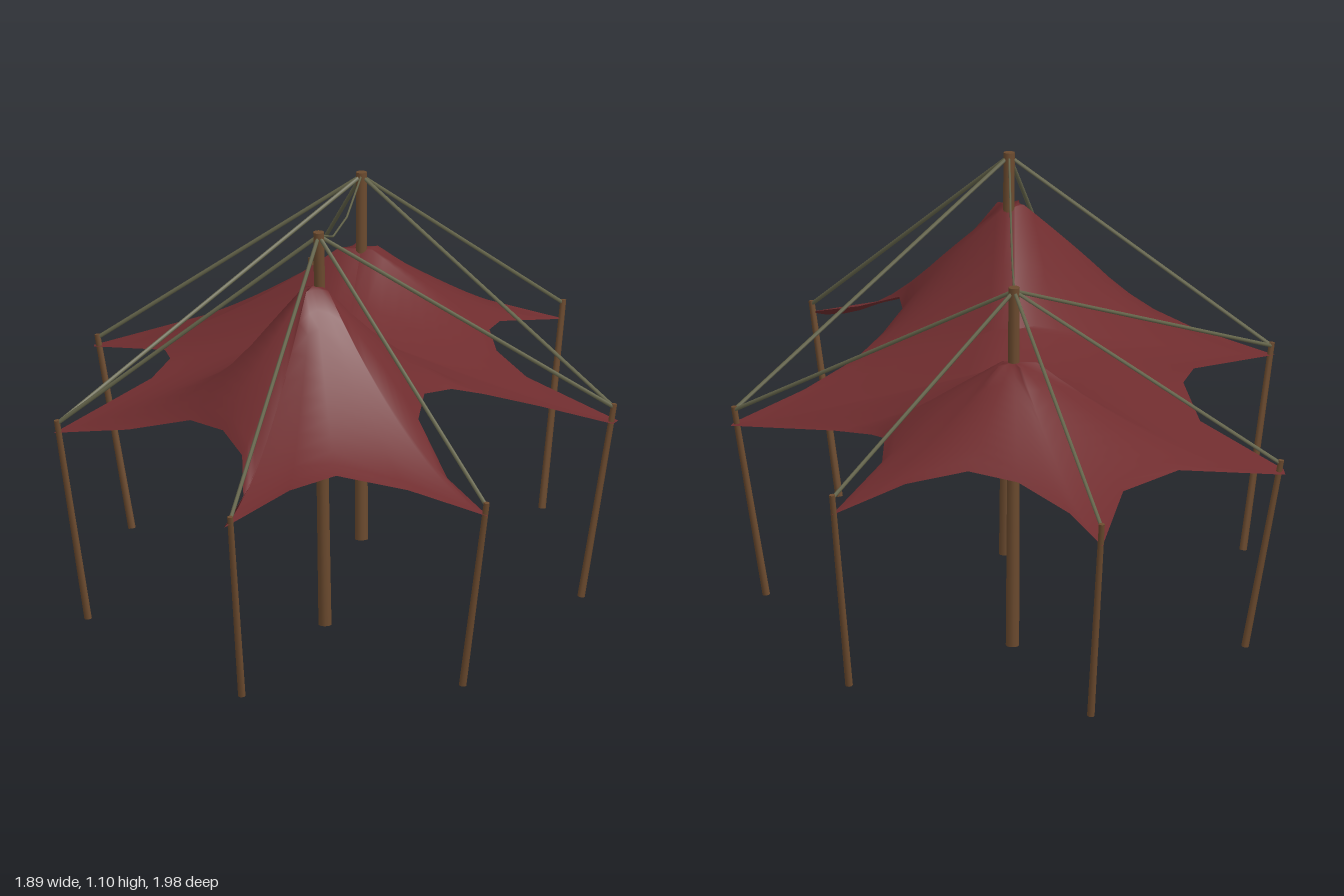
import * as THREE from 'three';

const V = (x, y, z) => new THREE.Vector3(x, y, z);
const red = new THREE.MeshStandardMaterial({ color: 0x702d2f, side: THREE.DoubleSide });
red.name = 'canopyRed';
const wood = new THREE.MeshStandardMaterial({ color: 0x6b4a2e });
wood.name = 'wood';
const rope = new THREE.MeshStandardMaterial({ color: 0x66664c });
rope.name = 'rope';

// Canopy hem, seven points joined by scalloped edges: [x, y, z, place on the ridge 0..1]
const HEM = [
  [-0.945, 0.495, 0.65, 0], [-0.72, 0.555, 0.645, 0], [-0.59, 0.58, 0.68, 0], [-0.44, 0.54, 0.80, 0],
  [-0.32, 0.49, 0.99, 0], [-0.31, 0.55, 0.80, 0], [-0.23, 0.645, 0.575, 0], [-0.115, 0.665, 0.455, 0],
  [0.02, 0.64, 0.40, 0.2], [0.14, 0.60, 0.385, 0.4], [0.30, 0.545, 0.42, 0.4],
  [0.485, 0.48, 0.50, 0.6], [0.515, 0.48, 0.485, 0.6], [0.47, 0.53, 0.15, 0.8], [0.495, 0.56, -0.01, 1],
  [0.55, 0.585, -0.11, 1], [0.66, 0.565, -0.205, 1], [0.94, 0.50, -0.285, 1], [0.755, 0.565, -0.38, 1],
  [0.64, 0.60, -0.50, 1], [0.585, 0.585, -0.63, 1], [0.585, 0.54, -0.82, 1], [0.64, 0.50, -0.99, 1],
  [0.37, 0.55, -0.81, 1], [0.125, 0.545, -0.78, 1], [-0.165, 0.49, -0.895, 1], [-0.185, 0.495, -0.87, 1],
  [-0.19, 0.56, -0.56, 0.8], [-0.31, 0.60, -0.385, 0.6], [-0.44, 0.59, -0.30, 0.4],
  [-0.82, 0.525, -0.235, 0.4], [-0.74, 0.57, -0.02, 0.2],
  [-0.68, 0.63, 0.17, 0], [-0.68, 0.635, 0.31, 0], [-0.71, 0.60, 0.43, 0], [-0.82, 0.54, 0.575, 0],
];
const RIDGE_Y = [0.95, 0.84, 0.72, 0.66, 0.69, 0.795];

// Rings of cloth from the ridge out to the hem, sagging more along the long points
function canopyGeometry() {
  const rings = 12, n = HEM.length, pos = [], index = [];
  for (let j = 0; j <= rings; j++) {
    const t = j / rings;
    for (const [x, y, z, s] of HEM) {
      const rx = -0.315 + 0.625 * s, rz = 0.235 - 0.59 * s, ry = RIDGE_Y[Math.round(s * 5)];
      const reach = Math.hypot(x - rx, z - rz);
      const sag = THREE.MathUtils.clamp(0.1 + 2.2 * reach, 0.9, s > 0 && s < 1 ? 1.2 : 1.75);
      const fall = Math.max(0, (t - 0.083) / 0.917);
      pos.push(rx + (x - rx) * t, y + (ry - y) * Math.pow(1 - fall, sag), rz + (z - rz) * t);
    }
  }
  for (let j = 0; j < rings; j++) for (let i = 0; i < n; i++) {
    const k = (i + 1) % n, a = j * n, b = a + n;
    index.push(a + i, b + i, b + k);
    // on the ridge this triangle exists only where the ridge point moves
    if (j > 0 || HEM[i][3] !== HEM[k][3]) index.push(a + i, b + k, a + k);
  }
  const g = new THREE.BufferGeometry();
  g.setAttribute('position', new THREE.Float32BufferAttribute(pos, 3));
  g.setIndex(index);
  g.computeVertexNormals();
  return g;
}

// Straight round bar between two points
function bar(name, from, to, r0, r1, sides, material) {
  const dir = to.clone().sub(from);
  const mesh = new THREE.Mesh(new THREE.CylinderGeometry(r1, r0, dir.length(), sides), material);
  mesh.position.copy(from).addScaledVector(dir, 0.5);
  mesh.quaternion.setFromUnitVectors(V(0, 1, 0), dir.normalize());
  mesh.name = name;
  return mesh;
}

export function createModel() {
  const model = new THREE.Group();
  model.name = 'stretchTent';

  const canopy = new THREE.Mesh(canopyGeometry(), red);
  canopy.name = 'canopy';
  model.add(canopy);

  // Two main masts
  const tallTop = V(-0.31, 1.1, 0.25), shortTop = V(0.315, 1.005, -0.36);
  model.add(bar('tallMast', V(-0.265, 0, 0.22), tallTop, 0.018, 0.015, 10, wood));
  model.add(bar('shortMast', V(0.295, 0, -0.335), shortTop, 0.018, 0.015, 10, wood));

  // Leaning edge poles: foot x, z, then top x, y, z
  const tops = [
    [-0.845, 0.60, -0.92, 0.52, 0.645],
    [-0.325, 0.885, -0.317, 0.525, 0.978],
    [0.425, 0.44, 0.50, 0.53, 0.487],
    [0.845, -0.26, 0.935, 0.555, -0.283],
    [0.595, -0.905, 0.637, 0.56, -0.985],
    [-0.12, -0.79, -0.17, 0.525, -0.875],
    [-0.725, -0.21, -0.815, 0.56, -0.23],
  ].map(([fx, fz, x, y, z]) => {
    const top = V(x, y, z);
    model.add(bar('edgePole', V(fx, 0, fz), top, 0.01, 0.008, 8, wood));
    return top;
  });

  // Guy ropes from each mast head to the poles
  const guys = (head, list) => list.forEach((i) => model.add(
    bar('guyRope', head.clone().setY(head.y - 0.01), tops[i].clone().setY(tops[i].y - 0.01), 0.0055, 0.0055, 6, rope)));
  guys(tallTop, [0, 1, 2, 6]);
  guys(shortTop, [2, 3, 4, 5, 6]);

  // Slack rope between the mast heads, in three straight runs
  const slack = [tallTop.clone().setY(1.09), V(-0.1, 1.0, 0.045), V(0.1, 0.97, -0.15), shortTop.clone().setY(0.995)];
  for (let i = 0; i < 3; i++) model.add(bar('slackRope', slack[i], slack[i + 1], 0.003, 0.003, 5, rope));
  return model;
}
